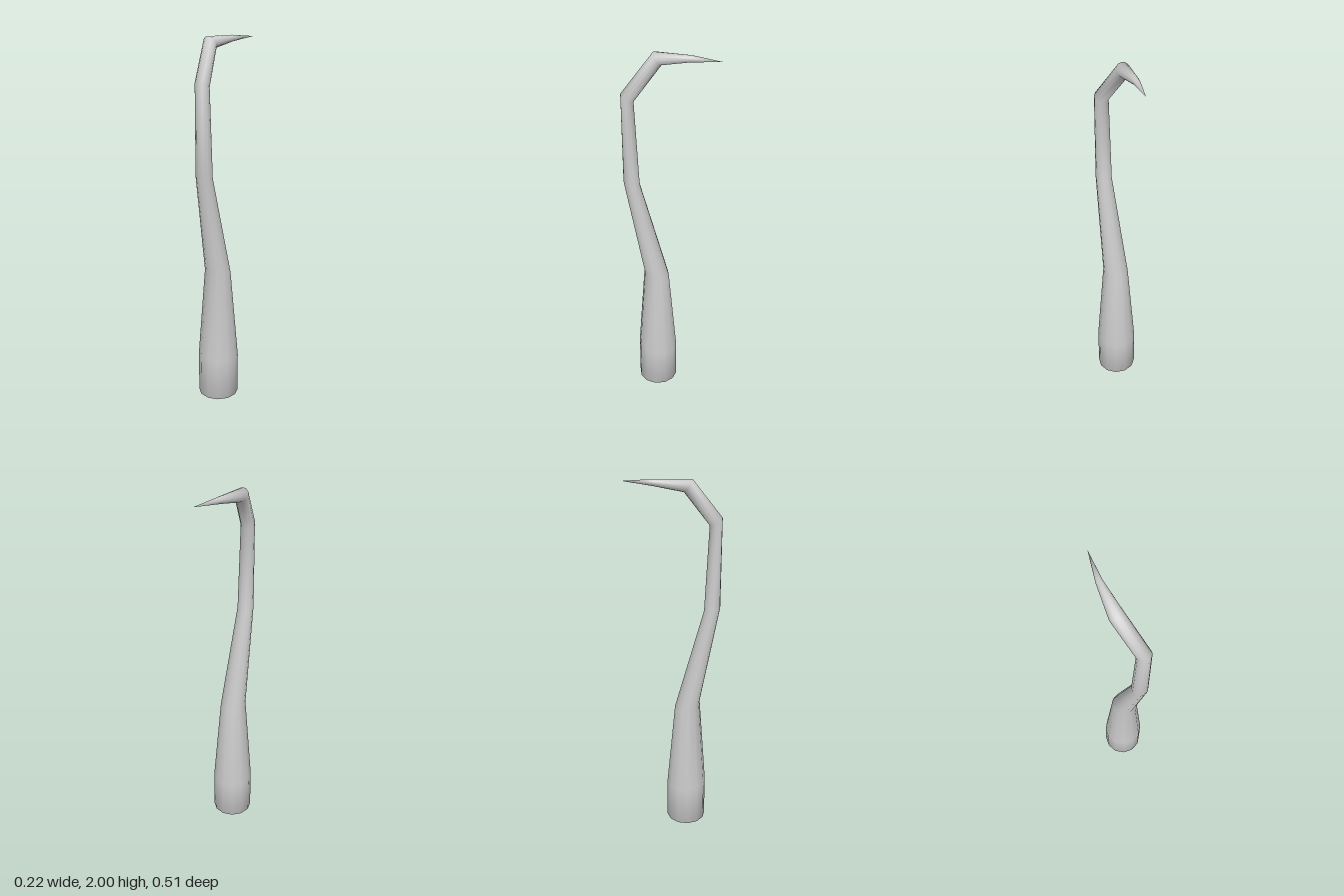
import * as THREE from 'three';

const SIDES = 12;

// Cross-sections from handle end to tip: centre, radius, direction the ring faces
const rings = [
  { c: [0, 0, 0.077], r: 0.112, n: [0, 1, 0] },
  { c: [0, 0.235, 0.077], r: 0.112, n: [0, 1, -0.1] },
  { c: [0, 0.75, 0.08], r: 0.071, n: [0, 0.98, -0.21] },
  { c: [0, 1.31, 0.208], r: 0.044, n: [0, 0.98, -0.18] },
  { c: [0, 1.78, 0.218], r: 0.038, n: [0, 0.86, -0.5] },
  { c: [-0.045, 1.97, 0.07], r: 0.038, n: [0.05, 0.55, -0.83] },
  { c: [-0.02, 1.982, -0.1], r: 0.017, n: [0.22, 0.03, -0.97] },
];
const tip = [0.021, 1.985, -0.255];

// Skin the rings, closing the base with a flat cap and the end with a point
function hookGeometry() {
  const positions = [];
  const index = [];
  for (const { c, r, n } of rings) {
    const normal = new THREE.Vector3(...n).normalize();
    const u = new THREE.Vector3(1, 0, 0).projectOnPlane(normal).normalize();
    const v = new THREE.Vector3().crossVectors(u, normal);
    for (let j = 0; j < SIDES; j++) {
      const a = (j / SIDES) * Math.PI * 2;
      const p = new THREE.Vector3(...c)
        .addScaledVector(u, r * Math.cos(a))
        .addScaledVector(v, r * Math.sin(a));
      positions.push(p.x, p.y, p.z);
    }
  }
  const tipId = rings.length * SIDES;
  const baseId = tipId + 1;
  positions.push(...tip, ...rings[0].c);

  const last = (rings.length - 1) * SIDES;
  for (let j = 0; j < SIDES; j++) {
    const k = (j + 1) % SIDES;
    for (let i = 0; i < last; i += SIDES) {
      index.push(i + j, i + SIDES + j, i + k);
      index.push(i + k, i + SIDES + j, i + SIDES + k);
    }
    index.push(last + j, tipId, last + k);
    index.push(baseId, j, k);
  }

  const geometry = new THREE.BufferGeometry();
  geometry.setAttribute('position', new THREE.Float32BufferAttribute(positions, 3));
  geometry.setIndex(index);
  geometry.computeVertexNormals();
  return geometry;
}

export function createModel() {
  const group = new THREE.Group();
  group.name = 'hookedSpike';
  const shaft = new THREE.Mesh(
    hookGeometry(),
    new THREE.MeshStandardMaterial({ color: 0xcccccc })
  );
  shaft.name = 'bentShaft';
  group.add(shaft);
  return group;
}
